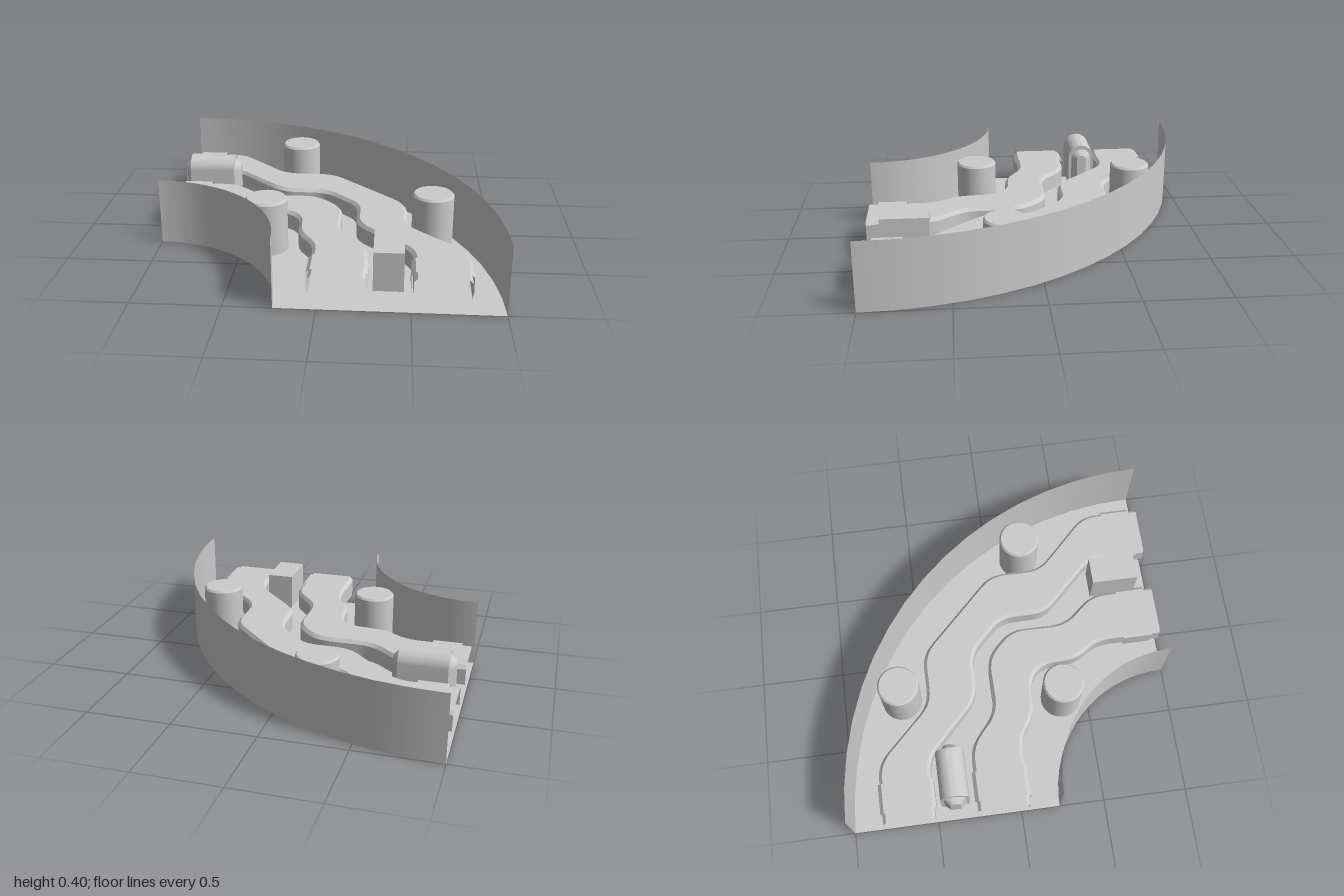
import * as THREE from 'three';
import { toCreasedNormals } from 'three/addons/utils/BufferGeometryUtils.js';

export function createModel() {
  const model = new THREE.Group();
  const grey = new THREE.MeshStandardMaterial({ color: 0xcccccc, side: THREE.DoubleSide });
  grey.name = 'lightGrey';

  const add = (name, geometry, x = 0, y = 0, z = 0) => {
    const mesh = new THREE.Mesh(geometry, grey);
    mesh.name = name;
    mesh.position.set(x, y, z);
    model.add(mesh);
    return mesh;
  };

  // Everything on the tracks is mirrored across the quarter's diagonal
  const mirror = ([x, z]) => [-z, -x];
  const mirrorPath = half => [...half, ...half.map(mirror).reverse()];

  // Replace each corner of a path by a short curve
  const roundPath = (pts, reach = 0.09, steps = 6) => {
    const v = pts.map(p => new THREE.Vector2(...p));
    const out = [v[0]];
    for (let i = 1; i < v.length - 1; i++) {
      const toward = q => {
        const d = q.clone().sub(v[i]);
        return v[i].clone().addScaledVector(d, Math.min(reach, d.length() * 0.48) / d.length());
      };
      out.push(...new THREE.QuadraticBezierCurve(toward(v[i - 1]), v[i], toward(v[i + 1])).getPoints(steps));
    }
    out.push(v[v.length - 1]);
    return out;
  };

  // Open-bottomed channel with chamfered top edges between two border paths
  const channel = (left, right, bottom, top, chamfer) => {
    const pos = [], index = [];
    left.forEach((l, i) => {
      const r = right[i];
      const inset = r.clone().sub(l).setLength(chamfer);
      const l2 = l.clone().add(inset), r2 = r.clone().sub(inset);
      const section = [[l, bottom], [l, top - chamfer], [l2, top], [r2, top], [r, top - chamfer], [r, bottom]];
      for (const [p, y] of section) pos.push(p.x, y, p.y);
      if (i === 0) return;
      for (let j = 0; j < 5; j++) {
        const a = (i - 1) * 6 + j, b = a + 6;
        index.push(a, a + 1, b, a + 1, b + 1, b);
      }
    });
    const g = new THREE.BufferGeometry();
    g.setAttribute('position', new THREE.Float32BufferAttribute(pos, 3));
    g.setIndex(index);
    return toCreasedNormals(g, 0.5);
  };

  // Floor and curved side walls, centred on one corner
  add('floor', new THREE.RingGeometry(0.77, 2, 16, 1, 0, Math.PI / 2).rotateX(-Math.PI / 2), -1, 0, 1);
  for (const [name, r] of [['innerWall', 0.77], ['outerWall', 2]]) {
    add(name, new THREE.CylinderGeometry(r, r, 0.4, 16, 1, true, Math.PI / 2, Math.PI / 2), -1, 0.2, 1);
  }

  // Two winding tracks
  const tracks = [
    ['outerTrack',
      [[-1, -0.815], [-0.65, -0.815], [-0.32, -0.48], [0, -0.48]],
      [[-1, -0.51], [-0.65, -0.51], [-0.31, -0.18], [-0.03, -0.18]]],
    ['innerTrack',
      [[-1, -0.26], [-0.62, -0.26], [-0.42, -0.09], [-0.07, -0.09]],
      [[-1, 0.045], [-0.6, 0.045], [-0.46, 0.15], [-0.25, 0.15]]],
  ];
  for (const [name, l, r] of tracks) {
    add(name, channel(roundPath(mirrorPath(l)), roundPath(mirrorPath(r)), 0.085, 0.2, 0.02));
  }

  // Clamps over the track ends
  for (const [name, z0, z1] of [['outerClamp', -0.825, -0.498], ['innerClamp', -0.27, 0.056]]) {
    const l = [[-0.945, z0], [-0.77, z0]], r = [[-0.945, z1], [-0.77, z1]];
    const vec = p => new THREE.Vector2(...p);
    add(name + 'Left', channel(l.map(vec), r.map(vec), 0.085, 0.21, 0.022));
    const flip = p => vec(mirror(p));
    add(name + 'Front', channel(l.map(flip), r.map(flip), 0.085, 0.21, 0.022));
  }

  // Posts with a small bevel
  const postProfile = [[0, 0.035], [0.122, 0.035], [0.122, 0.343], [0.112, 0.355], [0, 0.355]]
    .map(p => new THREE.Vector2(...p));
  const postGeometry = toCreasedNormals(new THREE.LatheGeometry(postProfile, 32), 0.5);
  for (const [x, z] of [[-0.23, -0.64], [0.63, 0.205], [-0.34, 0.335]]) add('post', postGeometry, x, 0, z);

  // Block between the front track ends
  add('block', new THREE.BoxGeometry(0.165, 0.225, 0.28), 0.378, 0.183, 0.765);

  // Round-topped housing with tapered end caps
  const dome = (w, bottom, top) => {
    const s = new THREE.Shape();
    s.moveTo(-w, bottom);
    s.lineTo(w, bottom);
    s.lineTo(w, top - w);
    s.absarc(0, top - w, w, 0, Math.PI, false);
    s.closePath();
    return s;
  };
  const along = g => toCreasedNormals(g.rotateY(Math.PI / 2), 0.5);
  add('housing', along(new THREE.ExtrudeGeometry(dome(0.084, 0.07, 0.345),
    { depth: 0.285, bevelEnabled: false, curveSegments: 16 })), -0.925, 0, -0.385);
  add('housingEnds', along(new THREE.ExtrudeGeometry(dome(0.03, 0.125, 0.285),
    { depth: 0.285, bevelThickness: 0.035, bevelSize: 0.035, bevelSegments: 1, curveSegments: 12 })), -0.925, 0, -0.385);

  return model;
}
